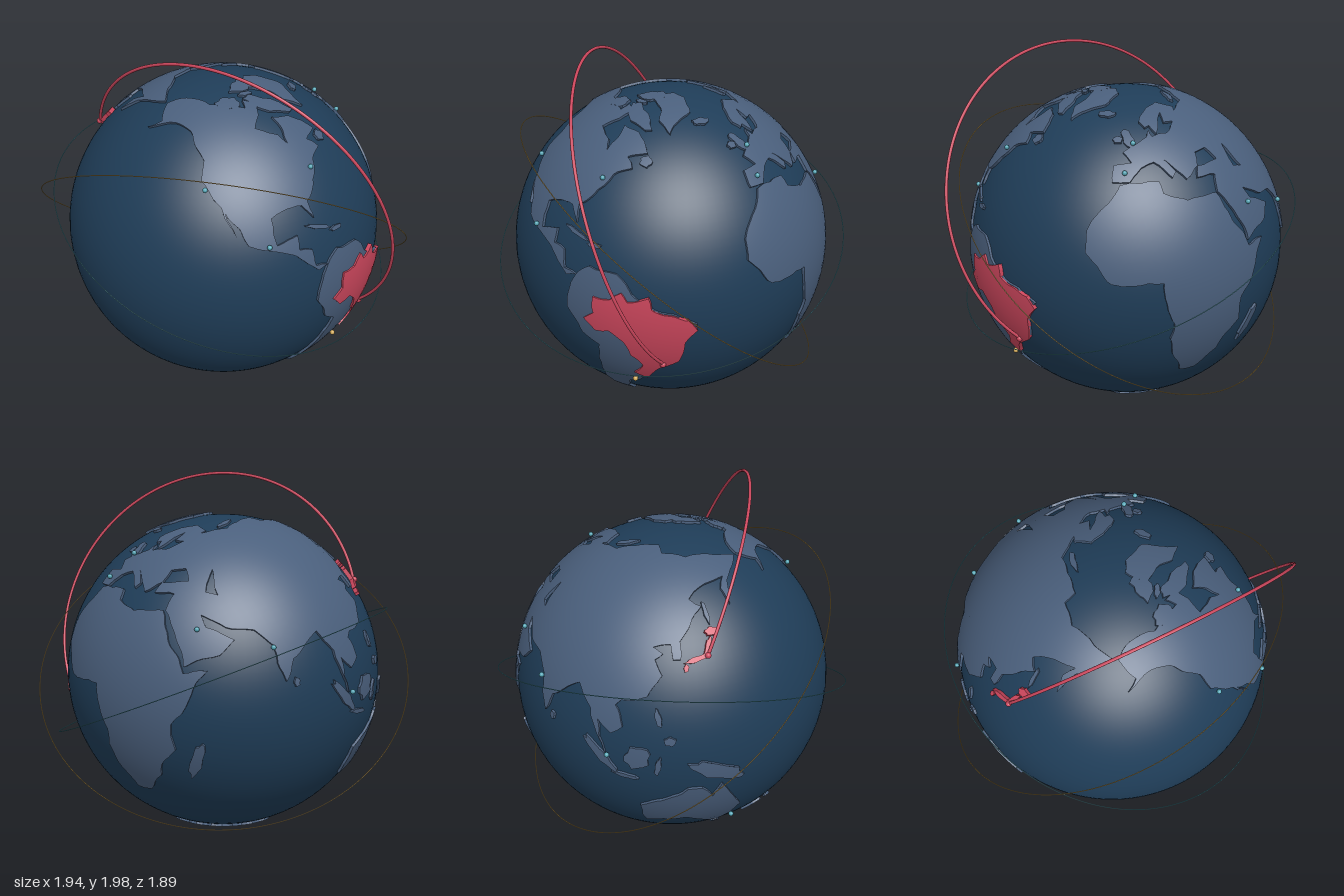
import * as THREE from 'three';

const CENTRE = new THREE.Vector3(0, 0.89, -0.028);
const OCEAN_R = 0.875, LAND_R = 0.888, HIGHLIGHT_R = 0.897;

const paint = (name, color) => Object.assign(new THREE.MeshStandardMaterial({ color }), { name });

// Main capes and bays of each coast, as longitude, latitude pairs
const continents = {
  northAmerica: [-168, 66, -156, 71, -128, 70, -95, 68, -94, 72, -82, 69, -87, 64, -94, 59, -82, 55, -79, 51, -77, 56,
    -78, 62, -65, 60, -56, 52, -66, 50, -62, 46, -70, 43, -76, 35, -81, 31, -80, 25, -84, 30, -97, 28, -96, 19, -88, 21,
    -88, 16, -83, 15, -82, 9, -77, 8, -81, 7, -88, 13, -106, 20, -114, 31, -110, 23, -124, 41, -124, 48, -135, 58,
    -148, 60, -164, 55, -158, 59],
  southAmerica: [-77, 8, -72, 12, -62, 11, -50, 0, -35, -6, -39, -13, -41, -22, -48, -26, -57, -37, -62, -39, -66, -47,
    -66, -55, -72, -54, -75, -47, -70, -18, -76, -14, -81, -5, -80, 1],
  africa: [-6, 36, 10, 37, 11, 33, 20, 30, 33, 31, 37, 21, 43, 11, 51, 12, 39, -6, 40, -15, 35, -20, 33, -26, 26, -34,
    19, -34, 12, -17, 13, -11, 9, 4, -8, 4, -17, 14, -17, 21, -10, 30],
  europe: [60, 69, 38, 65, 41, 67, 28, 71, 14, 68, 5, 61, 8, 58, 11, 59, 14, 55, 18, 60, 24, 65, 22, 60, 29, 60, 20, 55,
    11, 54, 10, 57, 8, 54, -5, 48, -1, 44, -9, 43, -9, 37, -2, 37, 3, 42, 9, 44, 16, 38, 18, 40, 13, 45, 22, 37, 29, 41,
    31, 46, 38, 47, 41, 42, 49, 41, 51, 47],
  northernAsia: [60, 69, 104, 78, 113, 74, 140, 72, 170, 70, -172, 66, 163, 59, 157, 51, 156, 57, 162, 61, 143, 59,
    135, 55, 141, 52, 129, 41, 129, 35, 126, 35, 125, 40, 118, 39, 122, 37, 119, 35, 122, 30, 117, 23, 108, 21, 51, 47],
  southernAsia: [51, 47, 54, 37, 49, 38, 49, 41, 41, 42, 29, 41, 27, 37, 36, 37, 34, 31, 43, 13, 55, 17, 60, 22, 50, 26,
    48, 30, 57, 26, 67, 25, 73, 20, 77, 8, 80, 15, 91, 23, 97, 16, 103, 1, 100, 13, 105, 9, 109, 12, 106, 19, 108, 21],
  australia: [114, -22, 115, -34, 131, -31, 138, -35, 146, -39, 153, -27, 143, -11, 140, -17, 136, -12, 131, -12, 122, -18],
  greenland: [-73, 78, -33, 83, -18, 79, -24, 70, -44, 60, -53, 66, -55, 73],
};
const southernHighlight = [-51, 4, -50, 0, -44, -2, -38, -4, -35, -8, -39, -13, -41, -22, -48, -26, -53, -33, -58, -30,
  -54, -25, -58, -20, -60, -14, -65, -10, -70, -11, -74, -7, -70, -4, -70, 2, -64, 2, -60, 5, -58, 2];

// Islands: longitude, latitude, half length, half width, tilt (degrees)
const islands = [
  [-74, 68, 8, 3, -45], [-110, 71, 4, 3, 0], [-78, 80, 5, 3, 30], [-85, 75, 2.5, 1, 0], [-19, 65, 3, 1.5, 0],
  [-56, 49, 2, 2, 0], [-79, 21.7, 5, 0.7, -18], [-71, 19, 2.6, 0.8, 0], [-2.5, 53.5, 4.5, 1.7, 110], [-8, 53, 1.6, 1.4, 0],
  [58, 73.5, 4, 1, 55], [142.6, 50, 4, 0.7, 95], [121, 16, 3, 1, 105], [125, 8, 2, 1.5, 0], [101, 0, 8, 1.7, -45],
  [110, -7, 4.5, 0.8, -8], [114, 1, 4.5, 4, 45], [121, -2, 3.5, 1, 80], [141, -5, 10, 3, -22], [47, -19, 7, 2, 72],
  [146.5, -42, 1.6, 1.4, 0], [176, -39, 3, 1.2, 130], [170, -44, 4, 1.2, 45], [80.8, 7.5, 1.5, 1, 90],
];
const easternHighlight = [[143, 43.3, 2.2, 1.4, 0], [140.3, 38.3, 3.3, 0.9, 70], [135.5, 35, 4, 0.9, 15], [131, 32.3, 1.3, 0.8, 80]];

// Unit direction of a longitude and latitude
function direction(lon, lat) {
  const a = THREE.MathUtils.degToRad(lon), b = THREE.MathUtils.degToRad(lat);
  return new THREE.Vector3(Math.cos(b) * Math.cos(a), Math.sin(b), -Math.cos(b) * Math.sin(a));
}

const middle = (a, b) => a.clone().add(b).normalize();

// Adds small ragged bays between the main points of a coast
function ragged(a, b) {
  const gap = a.distanceTo(b);
  if (gap < 0.05) return [a];
  const h = middle(a, b);
  const shift = new THREE.Vector3(Math.sin(61 * h.y), Math.sin(67 * h.z), Math.sin(59 * h.x));
  h.addScaledVector(shift, 0.06 * Math.min(gap, 0.25)).normalize();
  return [...ragged(a, h), ...ragged(h, b)];
}

function coast(pairs) {
  const pts = [];
  for (let i = 0; i < pairs.length; i += 2) pts.push(direction(pairs[i], pairs[i + 1]));
  return pts.flatMap((p, i) => ragged(p, pts[(i + 1) % pts.length]));
}

function islandCoast([lon, lat, long, wide, tilt]) {
  const t = THREE.MathUtils.degToRad(tilt), squeeze = Math.cos(THREE.MathUtils.degToRad(lat));
  return Array.from({ length: 14 }, (_, i) => {
    const a = i / 7 * Math.PI, r = 1 + 0.15 * Math.sin(i * 2.4 + lon);
    const u = long * r * Math.cos(a), v = wide * r * Math.sin(a);
    return direction(lon + (u * Math.cos(t) - v * Math.sin(t)) / squeeze, lat + u * Math.sin(t) + v * Math.cos(t));
  });
}

// Polar land: a ring with two deep bays and one long peninsula
function polarCoast() {
  return Array.from({ length: 72 }, (_, i) => {
    const lon = i * 5 - 180, bump = (at, width) => Math.exp(-(((lon - at) / width) ** 2));
    return direction(lon, -68 - 10 * bump(-170, 22) - 8 * bump(-40, 18) - 4 * bump(-105, 25) + 6 * bump(-60, 5) + Math.sin(i * 1.7) * 0.7);
  });
}

// Raised land: outline triangulated in a gnomonic plane, refined onto the sphere, with walls
function landGeometry(pts, radius) {
  const MAX = 0.08, pos = [], nor = [];
  const c = pts.reduce((s, p) => s.add(p), new THREE.Vector3()).normalize();
  const east = new THREE.Vector3(0, 1, 0).cross(c).normalize(), north = c.clone().cross(east);
  const flat = (p) => new THREE.Vector2(p.dot(east), p.dot(north)).divideScalar(p.dot(c));
  if (THREE.ShapeUtils.isClockWise(pts.map(flat))) pts.reverse();
  const put = (p, r, n) => { pos.push(p.x * r, p.y * r, p.z * r); nor.push(n.x, n.y, n.z); };

  const top = (a, b, d) => {
    const ab = a.distanceTo(b), m = Math.max(ab, b.distanceTo(d), d.distanceTo(a));
    if (m <= MAX) return [a, b, d].forEach((p) => put(p, radius, p));
    if (m > ab) return top(b, d, a);
    const h = middle(a, b);
    top(a, h, d);
    top(h, b, d);
  };
  for (const [i, j, k] of THREE.ShapeUtils.triangulateShape(pts.map(flat), [])) {
    const a = pts[i], b = pts[j], d = pts[k];
    if (a.clone().cross(b).dot(d) > 0) top(a, b, d); else top(a, d, b);
  }

  pts.forEach((a, i) => {
    const b = pts[(i + 1) % pts.length], low = OCEAN_R - 0.01;
    const n = b.clone().sub(a).cross(a).normalize();
    put(a, low, n); put(b, low, n); put(b, radius, n);
    put(a, low, n); put(b, radius, n); put(a, radius, n);
  });

  const g = new THREE.BufferGeometry();
  g.setAttribute('position', new THREE.Float32BufferAttribute(pos, 3));
  g.setAttribute('normal', new THREE.Float32BufferAttribute(nor, 3));
  return g;
}

export function createModel() {
  const ocean = paint('ocean blue', 0x1f3d58), land = paint('slate land', 0x4a5f7c), red = paint('highlight red', 0xcb465c);
  const teal = paint('teal', 0x55a5b5), gold = paint('gold', 0xd0a858);
  const globe = new THREE.Group(), model = new THREE.Group();
  globe.name = 'globe';
  globe.position.copy(CENTRE);
  model.add(globe);
  const add = (name, geometry, material) => {
    const mesh = new THREE.Mesh(geometry, material);
    mesh.name = name;
    globe.add(mesh);
    return mesh;
  };

  add('oceanSphere', new THREE.SphereGeometry(OCEAN_R, 96, 64), ocean);
  for (const [name, pairs] of Object.entries(continents)) add(name, landGeometry(coast(pairs), LAND_R), land);
  add('antarctica', landGeometry(polarCoast(), LAND_R), land);
  islands.forEach((i) => add('island', landGeometry(islandCoast(i), LAND_R), land));
  add('southernHighlight', landGeometry(coast(southernHighlight), HIGHLIGHT_R), red);
  easternHighlight.forEach((i) => add('easternHighlight', landGeometry(islandCoast(i), HIGHLIGHT_R), red));

  // City markers
  const marker = (lon, lat, r, material) => add('cityMarker', new THREE.SphereGeometry(r, 16, 12), material)
    .position.copy(direction(lon, lat).multiplyScalar(0.898));
  [[-74, 41], [-122, 38], [-99, 19], [0, 51], [-4, 40], [47, 25], [73, 19], [104, 1], [151, -34]]
    .forEach(([lon, lat]) => marker(lon, lat, 0.013, teal));
  marker(-58.4, -34.6, 0.014, gold);
  marker(-46.6, -23.5, 0.016, red);
  marker(139.7, 35.7, 0.016, red);

  // Flight arc rising between the two red markers
  const from = direction(-46.6, -23.5), to = direction(139.7, 35.7), angle = from.angleTo(to), path = [];
  for (let i = 0; i <= 40; i++) {
    const t = i / 40;
    path.push(from.clone().multiplyScalar(Math.sin((1 - t) * angle)).addScaledVector(to, Math.sin(t * angle))
      .normalize().multiplyScalar(0.893 + 0.307 * Math.sin(Math.PI * t)));
  }
  add('flightArc', new THREE.TubeGeometry(new THREE.CatmullRomCurve3(path), 120, 0.0085, 10), red);

  // Thin tilted orbit rings
  const ring = (name, radius, normal, material) => add(name, new THREE.TorusGeometry(radius, 0.0025, 6, 160), material)
    .quaternion.setFromUnitVectors(new THREE.Vector3(0, 0, 1), normal.normalize());
  ring('tealOrbit', 0.984, new THREE.Vector3(0.195, 0.92, 0.341), teal);
  ring('goldOrbit', 1.044, new THREE.Vector3(0.38, 0.778, -0.5), gold);
  return model;
}
